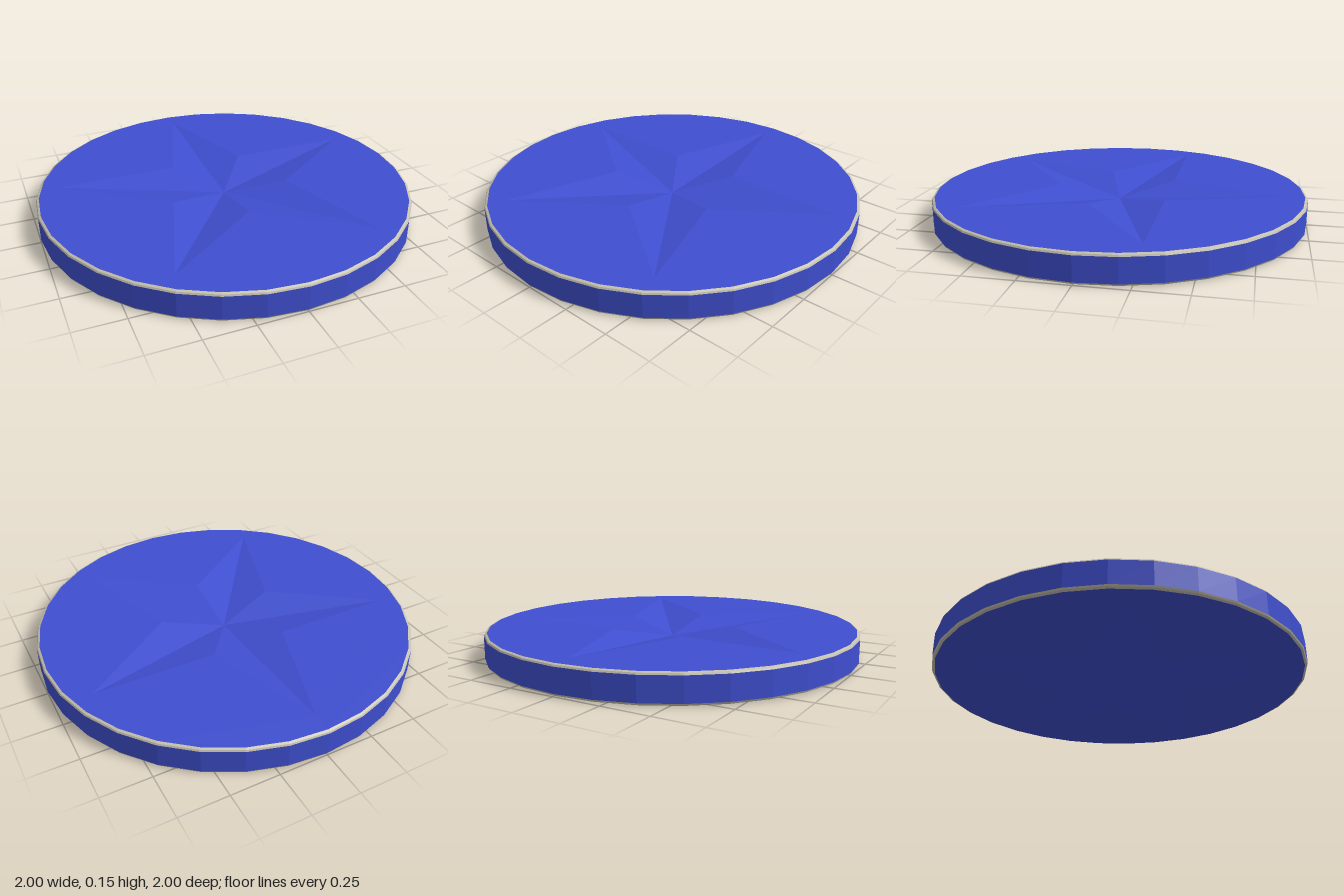
import * as THREE from 'three';

const SIDES = 32;        // facets round the disc
const HALF = 0.074;      // half the thickness
const BAND = 0.061;      // half height of the blue edge
const FACE_R = 0.985;    // radius of the flat face
const TIP_R = 0.89;      // star tips
const NOTCH_R = 0.34;    // star inner corners
const DEPTH = 0.063;     // depth of the star at its centre

const blue = new THREE.MeshStandardMaterial({ color: 0x3f4fd0, flatShading: true });
blue.name = 'blue';
const silver = new THREE.MeshStandardMaterial({ color: 0xc4c0b0, flatShading: true });
silver.name = 'silver';

function mesh(name, geometry, material) {
  const m = new THREE.Mesh(geometry, material);
  m.name = name;
  return m;
}

// Points on a ring, starting at the back (-z); shape y maps to -z
function ring(count, radiusAt) {
  return Array.from({ length: count }, (_, i) => {
    const a = Math.PI / 2 + (i / count) * Math.PI * 2;
    return new THREE.Vector2(Math.cos(a) * radiusAt(i), Math.sin(a) * radiusAt(i));
  });
}

// One side of the disc: flat face, sunken star and bevelled rim
function createSide(name) {
  const side = new THREE.Group();
  side.name = name;
  const star = ring(10, (i) => (i % 2 ? NOTCH_R : TIP_R));

  // Flat face with a star-shaped opening
  const shape = new THREE.Shape(ring(SIDES, () => FACE_R));
  shape.holes.push(new THREE.Path(star));
  const face = new THREE.ShapeGeometry(shape).rotateX(-Math.PI / 2).translate(0, HALF, 0);
  side.add(mesh('face', face, blue));

  // Star facets sloping down to the centre
  const corners = [];
  star.forEach((p, i) => {
    const q = star[(i + 1) % star.length];
    corners.push(0, HALF - DEPTH, 0, p.x, HALF, -p.y, q.x, HALF, -q.y);
  });
  const pit = new THREE.BufferGeometry();
  pit.setAttribute('position', new THREE.Float32BufferAttribute(corners, 3));
  pit.computeVertexNormals();
  side.add(mesh('sunkenStar', pit, blue));

  // Two-step bevel round the edge
  const profile = [[1, BAND], [0.996, 0.069], [FACE_R, HALF]].map(([x, y]) => new THREE.Vector2(x, y));
  side.add(mesh('rim', new THREE.LatheGeometry(profile, SIDES), silver));
  return side;
}

export function createModel() {
  const model = new THREE.Group();
  model.name = 'starDisc';

  const edge = new THREE.CylinderGeometry(1, 1, BAND * 2, SIDES, 1, true);
  model.add(mesh('edge', edge, blue));

  // Same side turned over for the underside
  const bottom = createSide('bottomSide');
  bottom.rotation.x = Math.PI;
  model.add(createSide('topSide'), bottom);

  model.children.forEach((part) => { part.position.y = HALF; });
  return model;
}
